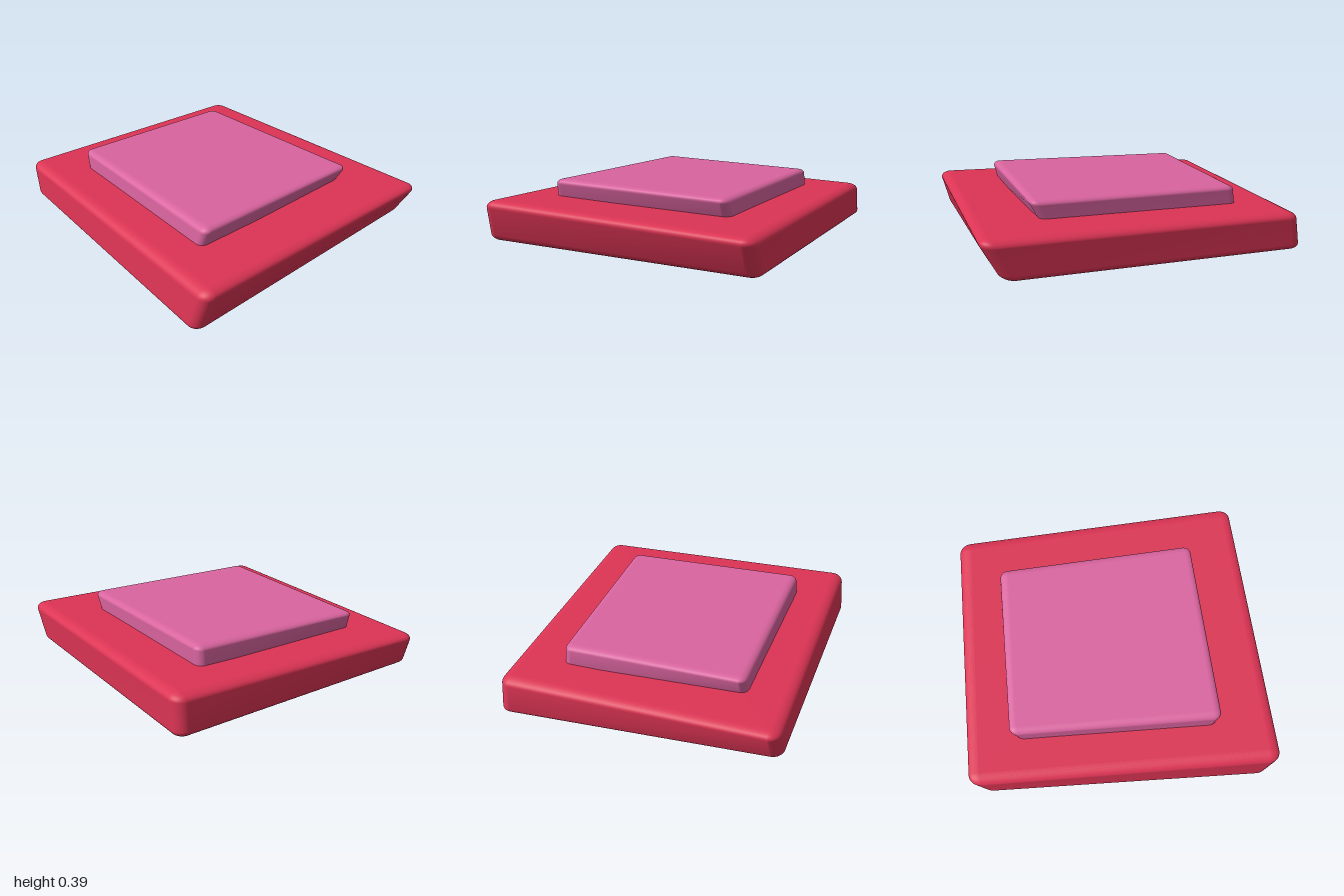
import * as THREE from 'three';
import { RoundedBoxGeometry } from 'three/addons/geometries/RoundedBoxGeometry.js';
import { mergeVertices } from 'three/addons/utils/BufferGeometryUtils.js';

// Corners of the skewed slab, in order: back -x, back +x, front -x, front +x
const BOTTOM = [[-1.0, 0.01, -0.89], [0.84, 0.01, -0.92], [-0.92, 0.04, 0.85], [0.925, 0, 0.945]];
const TOP = [[-0.965, 0.25, -0.885], [0.985, 0.265, -0.94], [-1.005, 0.265, 0.83], [1.0, 0.282, 0.91]];

// Softly rounded box whose points are blended between the eight corners
function skewedSlab() {
  const height = 0.45, radius = 0.08;
  let geo = new RoundedBoxGeometry(2, height, 2, 6, radius);
  geo.deleteAttribute('normal');
  geo.deleteAttribute('uv');
  geo.clearGroups();
  geo = mergeVertices(geo, 1e-4);
  const corners = [...BOTTOM, ...TOP].map((c) => new THREE.Vector3(...c));
  const pos = geo.attributes.position;
  const point = new THREE.Vector3();
  for (let i = 0; i < pos.count; i++) {
    const u = (pos.getX(i) + 1) / 2;
    const v = pos.getY(i) / height + 0.5;
    const w = (pos.getZ(i) + 1) / 2;
    point.set(0, 0, 0);
    corners.forEach((corner, k) => {
      const weight = (k & 1 ? u : 1 - u) * (k & 2 ? w : 1 - w) * (k & 4 ? v : 1 - v);
      point.addScaledVector(corner, weight);
    });
    pos.setXYZ(i, point.x, point.y, point.z);
  }
  geo.computeVertexNormals();
  return geo;
}

export function createModel() {
  const group = new THREE.Group();
  const slab = skewedSlab();
  const addSlab = (name, color) => {
    const mesh = new THREE.Mesh(slab, new THREE.MeshStandardMaterial({ color }));
    mesh.name = name;
    group.add(mesh);
    return mesh;
  };

  // Wide lower slab
  addSlab('base', 0xdc3454);

  // Smaller copy resting partly sunk into the base
  const upper = addSlab('topSlab', 0xd9649f);
  upper.scale.set(0.677, 0.677, 0.667);
  upper.position.set(-0.03, 0.198, 0.013);

  return group;
}
